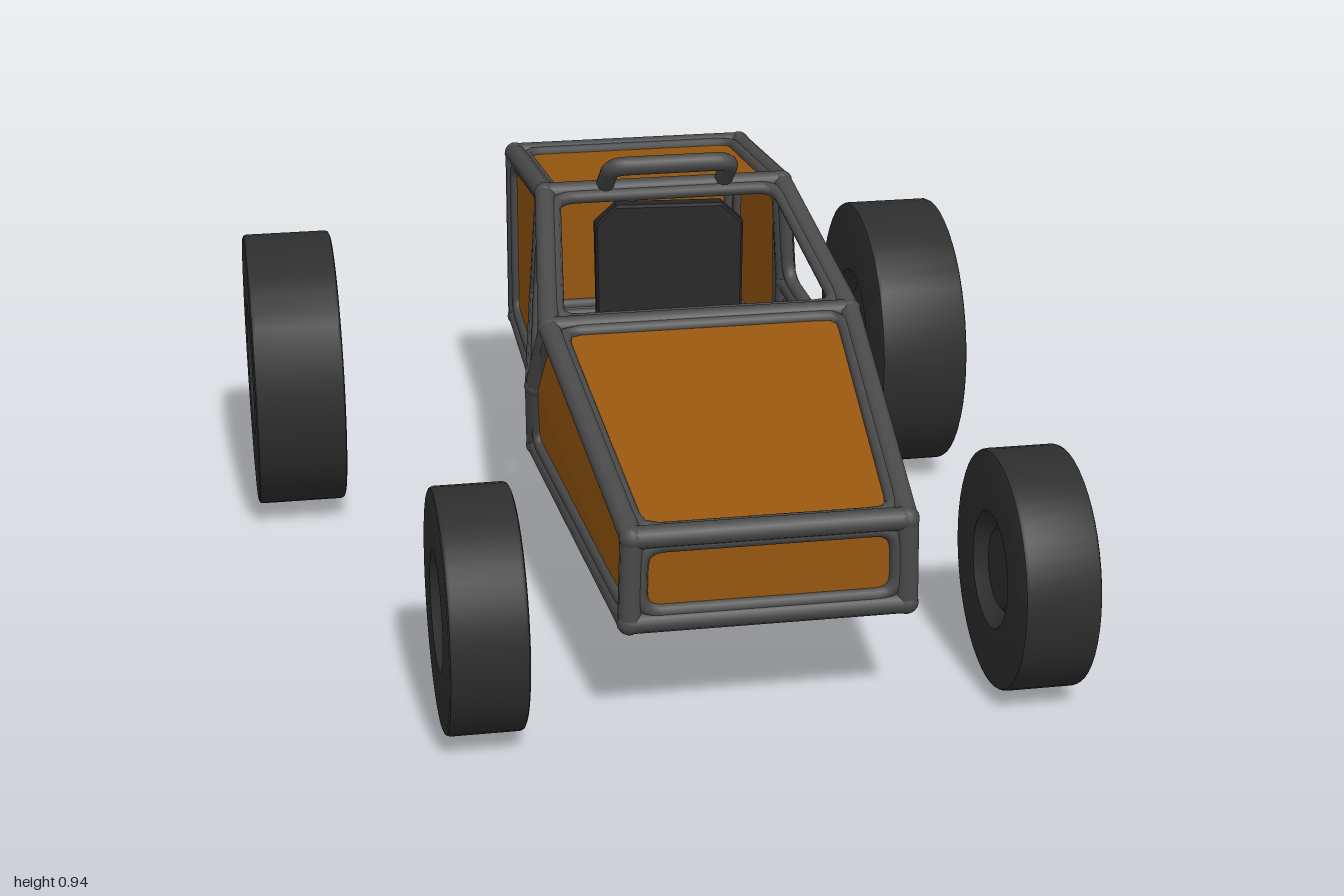
import * as THREE from 'three';
import { toCreasedNormals } from 'three/addons/utils/BufferGeometryUtils.js';
import { RoundedBoxGeometry } from 'three/addons/geometries/RoundedBoxGeometry.js';

const CX = 0.145; // centre line of the body
const tubeMat = new THREE.MeshStandardMaterial({ color: 0x4a4a4a });
const panelMat = new THREE.MeshStandardMaterial({ color: 0x96560e, side: THREE.DoubleSide });
const tyreMat = new THREE.MeshStandardMaterial({ color: 0x2e2e2e });
const seatMat = new THREE.MeshStandardMaterial({ color: 0x252525 });
const TUBE = 0.026;

// frame joints: half width, height, depth
const JOINTS = {
  noseLow: [0.305, 0.277, 0.865],
  noseTop: [0.3, 0.475, 0.865],
  dash: [0.362, 0.658, 0.07],
  waist: [0.382, 0.475, -0.03],
  floorMid: [0.37, 0.288, -0.11],
  hoopLow: [0.31, 0.29, -0.42],
  hoopMid: [0.318, 0.56, -0.42],
  hoopTop: [0.3, 0.83, -0.42],
  tailLow: [0.305, 0.305, -0.97],
  tailTop: [0.305, 0.768, -0.97],
};
const joint = (name, side) => {
  const [x, y, z] = JOINTS[name];
  return new THREE.Vector3(CX + side * x, y, z);
};

function add(parent, name, geometry, material) {
  const mesh = new THREE.Mesh(geometry, material);
  mesh.name = name;
  parent.add(mesh);
  return mesh;
}

function bar(parent, name, a, b) {
  add(parent, name, new THREE.TubeGeometry(new THREE.LineCurve3(a, b), 1, TUBE, 10), tubeMat);
}

// path through points with rounded corners
function roundedPath(points, radius, closed) {
  const path = new THREE.CurvePath();
  const n = points.length;
  const toward = (a, b) => a.clone().add(b.clone().sub(a).setLength(radius));
  for (let i = 0; i < n; i++) {
    const p = points[i], prev = points[(i + n - 1) % n], next = points[(i + 1) % n];
    const end = !closed && i === n - 1;
    if (closed || (i > 0 && !end)) {
      path.add(new THREE.QuadraticBezierCurve3(toward(p, prev), p, toward(p, next)));
    }
    if (end) break;
    const start = !closed && i === 0 ? p : toward(p, next);
    const stop = !closed && i === n - 2 ? next : toward(next, p);
    path.add(new THREE.LineCurve3(start, stop));
  }
  return path;
}

// thin inner lip that rounds off the corners of an opening
function lip(parent, points) {
  const n = points.length;
  const inset = points.map((p, i) => {
    const u = points[(i + 1) % n].clone().sub(p).normalize();
    const v = points[(i + n - 1) % n].clone().sub(p).normalize();
    const sin = Math.max(u.clone().cross(v).length(), 0.5);
    return p.clone().add(u.add(v).multiplyScalar(0.021 / sin));
  });
  add(parent, 'openingLip', new THREE.TubeGeometry(roundedPath(inset, 0.05, true), 72, 0.017, 8, true), tubeMat);
}

function panel(parent, name, points) {
  const index = [];
  for (let i = 1; i < points.length - 1; i++) index.push(0, i, i + 1);
  const g = new THREE.BufferGeometry().setFromPoints(points);
  g.setIndex(index);
  const flat = g.toNonIndexed();
  flat.computeVertexNormals();
  add(parent, name, flat, panelMat);
  lip(parent, points);
}

function wheel(parent, name, x, z, r, w) {
  const h = w / 2;
  // half profile from hub cap to tread, then mirrored
  const half = [[0, h - 0.022], [0.33 * r, h - 0.022], [0.36 * r, h - 0.03], [0.39 * r, h - 0.036],
    [0.43 * r, h - 0.026], [0.49 * r, h], [r - 0.01, h], [r - 0.003, h - 0.003], [r, h - 0.01]];
  const profile = [...half.map(([a, b]) => [a, -b]), ...half.slice().reverse()];
  const g = new THREE.LatheGeometry(profile.map(([a, b]) => new THREE.Vector2(a, b)), 48);
  g.rotateZ(Math.PI / 2);
  const m = add(parent, name, toCreasedNormals(g, 0.6), tyreMat);
  m.position.set(x, r, z);
}

export function createModel() {
  const model = new THREE.Group();
  model.name = 'buggy';
  const frame = new THREE.Group();
  frame.name = 'tubeFrame';
  const body = new THREE.Group();
  body.name = 'bodyPanels';
  model.add(frame, body);

  // side rails, posts, joints and side panels
  const sideBars = [
    ['noseLow', 'noseTop'], ['noseTop', 'dash'], ['noseLow', 'floorMid'], ['dash', 'waist'],
    ['waist', 'floorMid'], ['waist', 'hoopMid'], ['floorMid', 'hoopLow'], ['dash', 'hoopTop'],
    ['hoopLow', 'hoopMid'], ['hoopMid', 'hoopTop'], ['hoopLow', 'tailLow'],
    ['hoopTop', 'tailTop'], ['tailLow', 'tailTop'],
  ];
  for (const s of [-1, 1]) {
    const pts = (...names) => names.map((n) => joint(n, s));
    for (const [a, b] of sideBars) bar(frame, 'sideBar', joint(a, s), joint(b, s));
    for (const n of Object.keys(JOINTS)) {
      add(frame, 'frameJoint', new THREE.SphereGeometry(TUBE + 0.002, 12, 8), tubeMat).position.copy(joint(n, s));
    }
    panel(body, 'frontSidePanel', pts('waist', 'floorMid', 'noseLow', 'noseTop', 'dash'));
    panel(body, 'rearSidePanel', pts('hoopLow', 'tailLow', 'tailTop', 'hoopTop'));
    lip(frame, pts('dash', 'waist', 'hoopMid', 'hoopTop'));
    lip(frame, pts('waist', 'floorMid', 'hoopLow', 'hoopMid'));
  }

  // cross bars
  for (const n of ['noseLow', 'noseTop', 'dash', 'floorMid', 'hoopLow', 'hoopTop', 'tailLow', 'tailTop']) {
    bar(frame, 'crossBar', joint(n, -1), joint(n, 1));
  }

  // panels spanning the body from side to side
  const spans = [
    ['nosePanel', 'noseLow', 'noseTop'], ['hood', 'noseTop', 'dash'],
    ['frontFloor', 'noseLow', 'floorMid'], ['cabinFloor', 'floorMid', 'hoopLow'],
    ['rearFloor', 'hoopLow', 'tailLow'], ['rearDeck', 'hoopTop', 'tailTop'],
    ['tailPanel', 'tailLow', 'tailTop'],
  ];
  for (const [name, a, b] of spans) {
    panel(body, name, [joint(a, -1), joint(a, 1), joint(b, 1), joint(b, -1)]);
  }
  lip(frame, [joint('dash', -1), joint('dash', 1), joint('hoopTop', 1), joint('hoopTop', -1)]);

  // grab handle on the roll hoop
  const handle = [[-1, 0.835, -0.43], [-1, 0.922, -0.318], [1, 0.922, -0.318], [1, 0.835, -0.43]]
    .map(([s, y, z]) => new THREE.Vector3(CX + s * 0.15, y, z));
  add(frame, 'roofHandle', new THREE.TubeGeometry(roundedPath(handle, 0.04, false), 48, 0.023, 10), tubeMat);

  // seat, turned slightly
  const seat = new THREE.Group();
  seat.name = 'seat';
  seat.position.set(CX - 0.01, 0, -0.2);
  seat.rotation.y = -0.08;
  add(seat, 'seatCushion', new RoundedBoxGeometry(0.34, 0.07, 0.37, 2, 0.012), seatMat).position.set(0, 0.38, 0);
  const back = new THREE.Shape();
  [[-0.175, 0], [0.175, 0], [0.18, 0.4], [0.13, 0.445], [-0.13, 0.445], [-0.18, 0.4]]
    .forEach(([x, y], i) => (i ? back.lineTo(x, y) : back.moveTo(x, y)));
  const rest = add(seat, 'seatBack', new THREE.ExtrudeGeometry(back,
    { depth: 0.04, bevelSize: 0.006, bevelThickness: 0.008, bevelSegments: 1 }), seatMat);
  rest.position.set(0, 0.35, -0.18);
  rest.rotation.x = -0.06;
  model.add(seat);

  // wheels
  wheel(model, 'rearRightWheel', -0.79, -0.585, 0.345, 0.22);
  wheel(model, 'rearLeftWheel', 0.79, -0.585, 0.345, 0.22);
  wheel(model, 'frontRightWheel', -0.475, 0.73, 0.271, 0.172);
  wheel(model, 'frontLeftWheel', 0.765, 0.73, 0.271, 0.172);
  return model;
}
